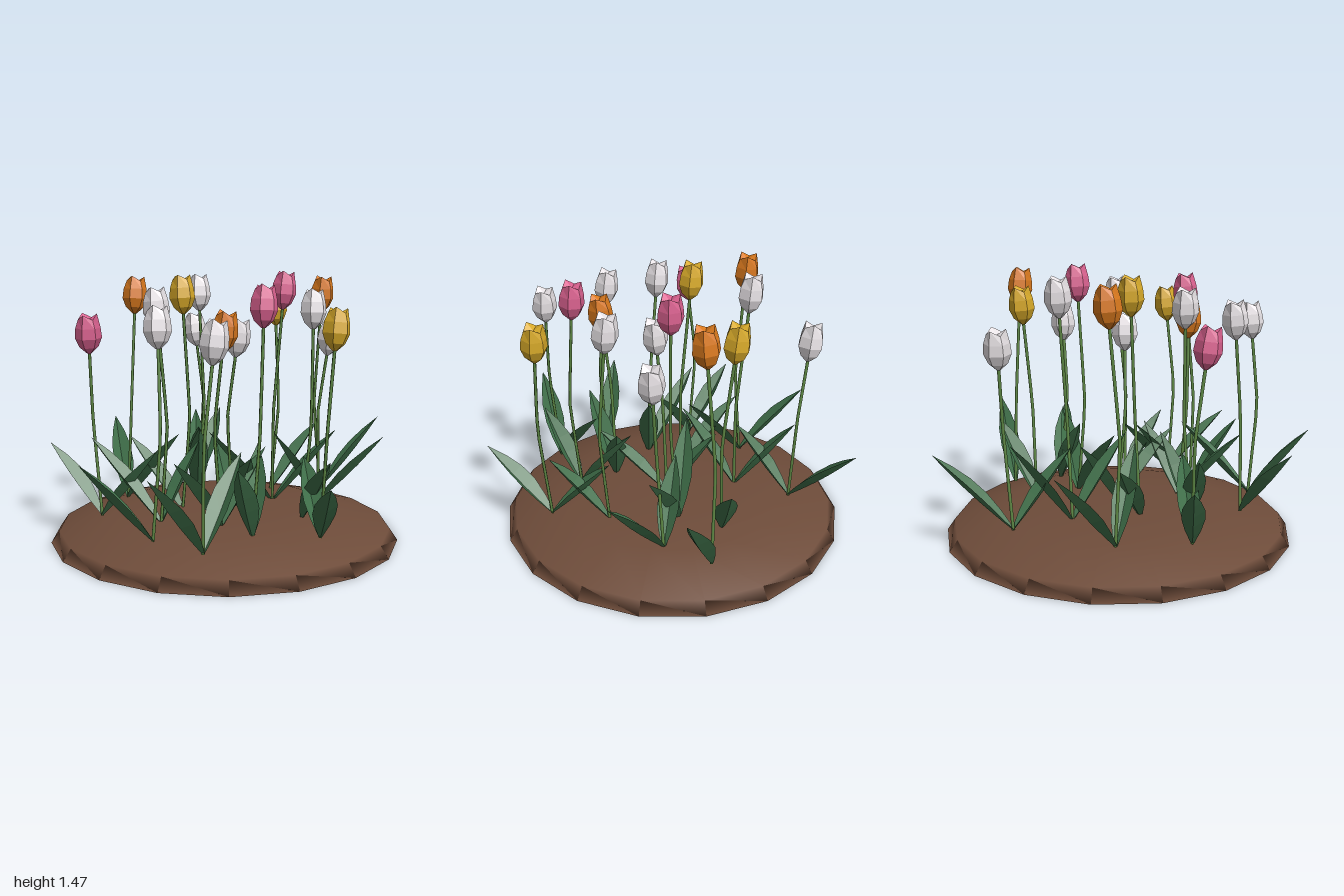
import * as THREE from 'three';

const material = (color, flatShading = true) =>
  new THREE.MeshStandardMaterial({ color, flatShading, side: THREE.DoubleSide });
const soil = material(0x6e4c3a, false), leafGreen = material(0x40704a), stemGreen = material(0x5f8a45, false);
const petals = {
  orange: material(0xdb7a1e), yellow: material(0xd9ab2a),
  pink: material(0xdb6290), white: material(0xe6e1e4),
};
const GROUND = 0.14, KNEE = 0.67, LEAN = 0.06;

function part(name, geometry, mat) {
  const mesh = new THREE.Mesh(geometry, mat);
  mesh.name = name;
  return mesh;
}

// Six-sided closed bud; every other petal tip stands higher
function budGeometry() {
  const profile = [[0.012, 0], [0.05, 0.035], [0.071, 0.085], [0.066, 0.14], [0.05, 0.185], [0, 0.18]];
  const geo = new THREE.LatheGeometry(profile.map(p => new THREE.Vector2(...p)), 6, Math.PI / 6);
  for (let column = 0; column <= 6; column += 2) {
    geo.attributes.position.setY(column * profile.length + 4, 0.212);
  }
  return geo;
}

// Folded leaf: V-shaped cross-sections along a nearly straight line from base to tip
function leafGeometry(base, tip) {
  const along = tip.clone().sub(base);
  const side = new THREE.Vector3(-along.z, 0, along.x).normalize();
  const normal = side.clone().cross(along).normalize();
  if (normal.y < 0) normal.negate();
  const halfWidths = [0.01, 0.04, 0.058, 0.056, 0.035, 0.001];
  const positions = [], index = [];
  halfWidths.forEach((w, i) => {
    const t = i / (halfWidths.length - 1);
    const keel = base.clone().addScaledVector(along, t);
    for (const s of [-1, 0, 1]) {
      const p = keel.clone().addScaledVector(side, s * w).addScaledVector(normal, (Math.abs(s) - 0.3) * w * 0.75);
      positions.push(p.x, p.y, p.z);
    }
    if (i === 0) return;
    for (const k of [0, 1]) {
      const a = (i - 1) * 3 + k, b = a + 3;
      index.push(a, b, a + 1, a + 1, b, b + 1);
    }
  });
  const geo = new THREE.BufferGeometry();
  geo.setAttribute('position', new THREE.Float32BufferAttribute(positions, 3));
  geo.setIndex(index);
  geo.computeVertexNormals();
  return geo;
}

// One tulip: bud top, direction in which the stem's knee lies, leaf height, leaf tips as x, z
function makeTulip(bud, color, [x, top, z], lean, leafTop, tips) {
  const tulip = new THREE.Group();
  tulip.name = 'tulip';
  const shifted = (degrees, y) => {
    const a = THREE.MathUtils.degToRad(degrees);
    return new THREE.Vector3(x + LEAN * Math.cos(a), y, z + LEAN * Math.sin(a));
  };
  const base = shifted(lean + 45, GROUND), knee = shifted(lean, KNEE);
  const middle = new THREE.Vector3(x, top - 0.1, z);
  const up = middle.clone().sub(knee).normalize();
  const budBase = middle.clone().addScaledVector(up, -0.11);

  const path = new THREE.CatmullRomCurve3([base, knee, budBase], false, 'catmullrom', 0.1);
  tulip.add(part('stem', new THREE.TubeGeometry(path, 8, 0.009, 5), stemGreen));

  const flower = part('flower', bud, petals[color]);
  flower.position.copy(budBase);
  flower.quaternion.setFromUnitVectors(new THREE.Vector3(0, 1, 0), up);
  tulip.add(flower);

  for (const [tx, tz] of tips) {
    tulip.add(part('leaf', leafGeometry(base, new THREE.Vector3(tx, leafTop, tz)), leafGreen));
  }
  return tulip;
}

// Colour, bud top, lean in degrees, leaf height, leaf tips
const tulips = [
  ['orange', [0.06, 1.44, -0.69], 190, 0.59, [[0.26, -0.99]]],
  ['yellow', [-0.17, 1.36, -0.53], 20, 0.55, [[-0.05, -0.79]]],
  ['white', [0.27, 1.21, -0.53], 130, 0.55, [[0.55, -0.68], [0.06, -0.3]]],
  ['pink', [0.1, 1.47, -0.33], 110, 0.57, [[-0.13, 0.03], [0.3, -0.56]]],
  ['white', [0.41, 1.38, -0.24], 50, 0.52, [[0.7, -0.07]]],
  ['yellow', [0.73, 1.3, -0.06], 85, 0.49, [[0.98, 0.24], [0.4, -0.19]]],
  ['white', [-0.69, 1.21, -0.33], -20, 0.55, [[-0.83, -0.66], [-0.38, -0.1]]],
  ['white', [-0.42, 1.45, -0.14], 10, 0.6, [[-0.13, 0.1], [-0.65, -0.3]]],
  ['white', [0.07, 1.22, -0.01], 150, 0.52, [[-0.25, -0.12], [0.36, 0.16]]],
  ['yellow', [-0.2, 1.45, 0.16], 0, 0.52, [[-0.55, 0.28]]],
  ['orange', [-0.56, 1.44, 0.22], 70, 0.57, [[-0.92, 0.13], [-0.2, 0.19]]],
  ['pink', [0.47, 1.41, 0.18], 60, 0.55, [[0.22, -0.02], [0.6, 0.47]]],
  ['orange', [0.29, 1.28, 0.28], 160, 0.55, [[0.29, 0.61], [0.3, 0]]],
  ['white', [-0.09, 1.39, 0.42], -20, 0.58, [[0.03, 0.23], [-0.4, 0.64]]],
  ['pink', [-0.37, 1.25, 0.66], 225, 0.52, [[-0.68, 0.73], [-0.1, 0.42]]],
  ['white', [0.16, 1.31, 0.6], 30, 0.55, [[0.02, 0.98]]],
  ['white', [0.54, 1.26, 0.56], 100, 0.56, [[0.51, 0.93], [0.35, 0.22]]],
];

export function createModel() {
  const model = new THREE.Group();
  model.name = 'tulipBed';

  // Shallow mound with a flat underside
  const profile = [[0, 0], [0.97, 0], [0.925, 0.065], [0.62, 0.145], [0.3, 0.16], [0, 0.163]];
  const mound = part('soilMound',
    new THREE.LatheGeometry(profile.map(p => new THREE.Vector2(...p)), 18, Math.PI / 2), soil);
  mound.position.x = -0.03;
  model.add(mound);

  const bud = budGeometry();
  for (const tulip of tulips) model.add(makeTulip(bud, ...tulip));
  return model;
}
